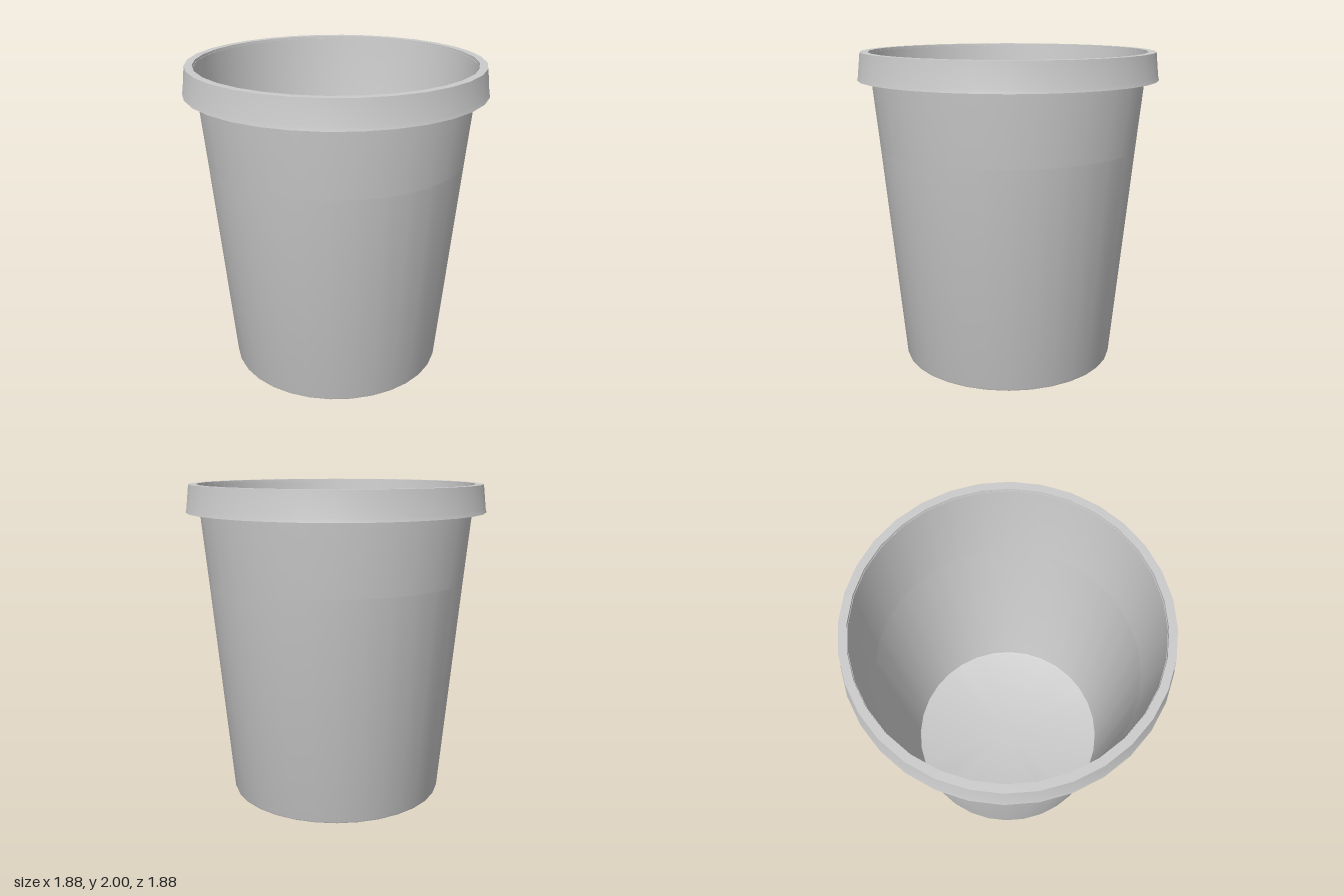
import * as THREE from 'three';
import { toCreasedNormals } from 'three/addons/utils/BufferGeometryUtils.js';

const SIDES = 32;
const material = new THREE.MeshStandardMaterial({ color: 0xcccccc, side: THREE.DoubleSide });

// Spins a profile of [radius, height] pairs about the y axis, keeping sharp edges sharp
function turned(name, profile) {
  const points = profile.map(([r, y]) => new THREE.Vector2(r, y));
  const geometry = toCreasedNormals(new THREE.LatheGeometry(points, SIDES), 0.6);
  const mesh = new THREE.Mesh(geometry, material);
  mesh.name = name;
  return mesh;
}

export function createModel() {
  const group = new THREE.Group();
  group.name = 'bucket';

  // Underside and tapered outer wall, up to the hollow beneath the lip
  group.add(turned('outerWall', [
    [0, 0], [0.675, 0], [0.682, 0.004], [0.686, 0.014], [0.868, 1.985],
  ]));

  // Overhanging lip: a thin skirt that flares slightly at its lower edge
  group.add(turned('rim', [
    [0.868, 1.985], [0.911, 1.985], [0.928, 1.855], [0.934, 1.83],
    [0.942, 1.83], [0.936, 1.855], [0.92, 2], [0.872, 2],
  ]));

  // Inner wall running down to the floor, with a small rounded corner
  group.add(turned('innerWall', [
    [0.872, 2], [0.681, 0.025], [0.678, 0.015], [0.668, 0.011], [0, 0.011],
  ]));

  return group;
}
